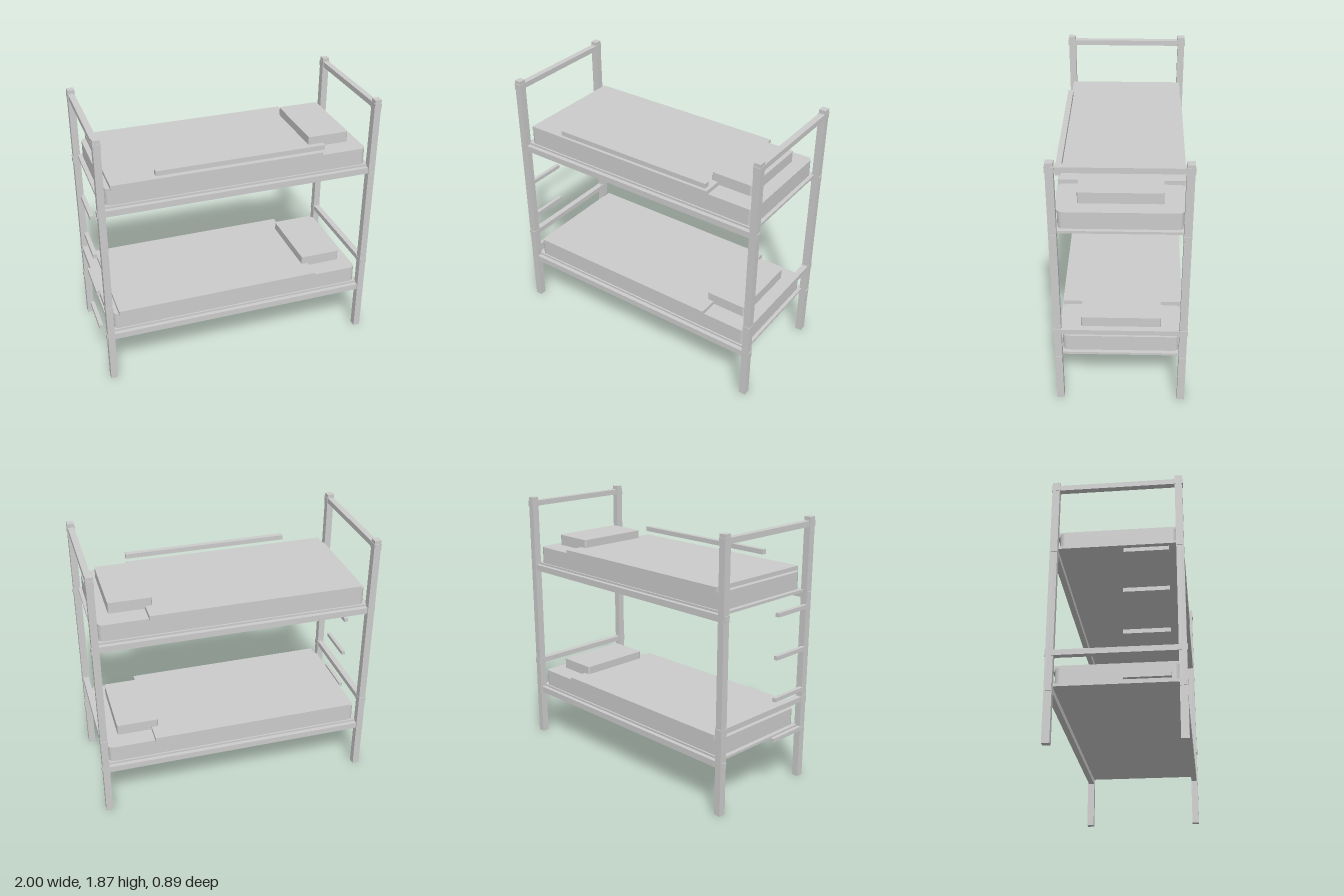
import * as THREE from 'three';

const material = new THREE.MeshStandardMaterial({ color: 0xcccccc });

export function createModel() {
  const bed = new THREE.Group();
  bed.name = 'bunkBed';

  const add = (name, geometry) => {
    const mesh = new THREE.Mesh(geometry, material);
    mesh.name = name;
    bed.add(mesh);
    return mesh;
  };

  // Box given by its extents on each axis
  const box = (name, [x0, x1], [y0, y1], [z0, z1]) =>
    add(name, new THREE.BoxGeometry(x1 - x0, y1 - y0, z1 - z0))
      .position.set((x0 + x1) / 2, (y0 + y1) / 2, (z0 + z1) / 2);

  // Flat-topped block with rounded vertical corners
  const cushion = (name, [x0, x1], [y0, y1], halfZ, r) => {
    const s = new THREE.Shape();
    s.absarc(x1 - r, halfZ - r, r, 0, Math.PI / 2);
    s.absarc(x0 + r, halfZ - r, r, Math.PI / 2, Math.PI);
    s.absarc(x0 + r, r - halfZ, r, Math.PI, Math.PI * 1.5);
    s.absarc(x1 - r, r - halfZ, r, Math.PI * 1.5, Math.PI * 2);
    s.closePath();
    const g = new THREE.ExtrudeGeometry(s, { depth: y1 - y0, bevelEnabled: false, curveSegments: 5 });
    g.rotateX(-Math.PI / 2);
    add(name, g).position.y = y0;
  };

  const endX = [-0.937, 0.968];

  // Corner posts and the crossbars joining them at each end
  for (const x of endX) {
    for (const z of [-0.413, 0.413]) {
      box('post', [x - 0.024, x + 0.024], [0, 1.87], [z - 0.025, z + 0.025]);
    }
    for (const y of [0.592, 1.825]) {
      box('endCrossbar', [x - 0.021, x + 0.021], [y - 0.019, y + 0.019], [-0.443, 0.443]);
      for (const z of [-0.413, 0.413]) {
        box('crossbarJoint', [x - 0.026, x + 0.026], [y - 0.022, y + 0.022], [z - 0.028, z + 0.028]);
      }
    }
  }

  // Two bunks: side rails, base, mattress, blanket and pillow
  for (const y of [0.335, 1.32]) {
    for (const z of [-0.41, 0.41]) {
      box('sideRail', [-0.967, 0.997], [y, y + 0.044], [z - 0.02, z + 0.02]);
    }
    box('bunkBase', [-0.93, 0.96], [y + 0.04, y + 0.058], [-0.4, 0.4]);
    cushion('mattress', [-0.9, 0.935], [y + 0.058, y + 0.178], 0.388, 0.035);
    box('blanket', [-0.865, 0.603], [y + 0.17, y + 0.207], [-0.406, 0.406]);
    cushion('pillow', [0.555, 0.848], [y + 0.188, y + 0.265], 0.268, 0.012);
  }

  // Guard bar on the upper bunk
  box('guardBar', [-0.572, 0.604], [1.558, 1.592], [0.387, 0.425]);

  // Ladder rungs beside the foot end
  for (let i = 0; i < 4; i++) {
    const y = 0.398 + i * 0.294;
    box('ladderRung', [-1, -0.973], [y - 0.014, y + 0.014], [0.05, 0.343]);
  }

  return bed;
}
